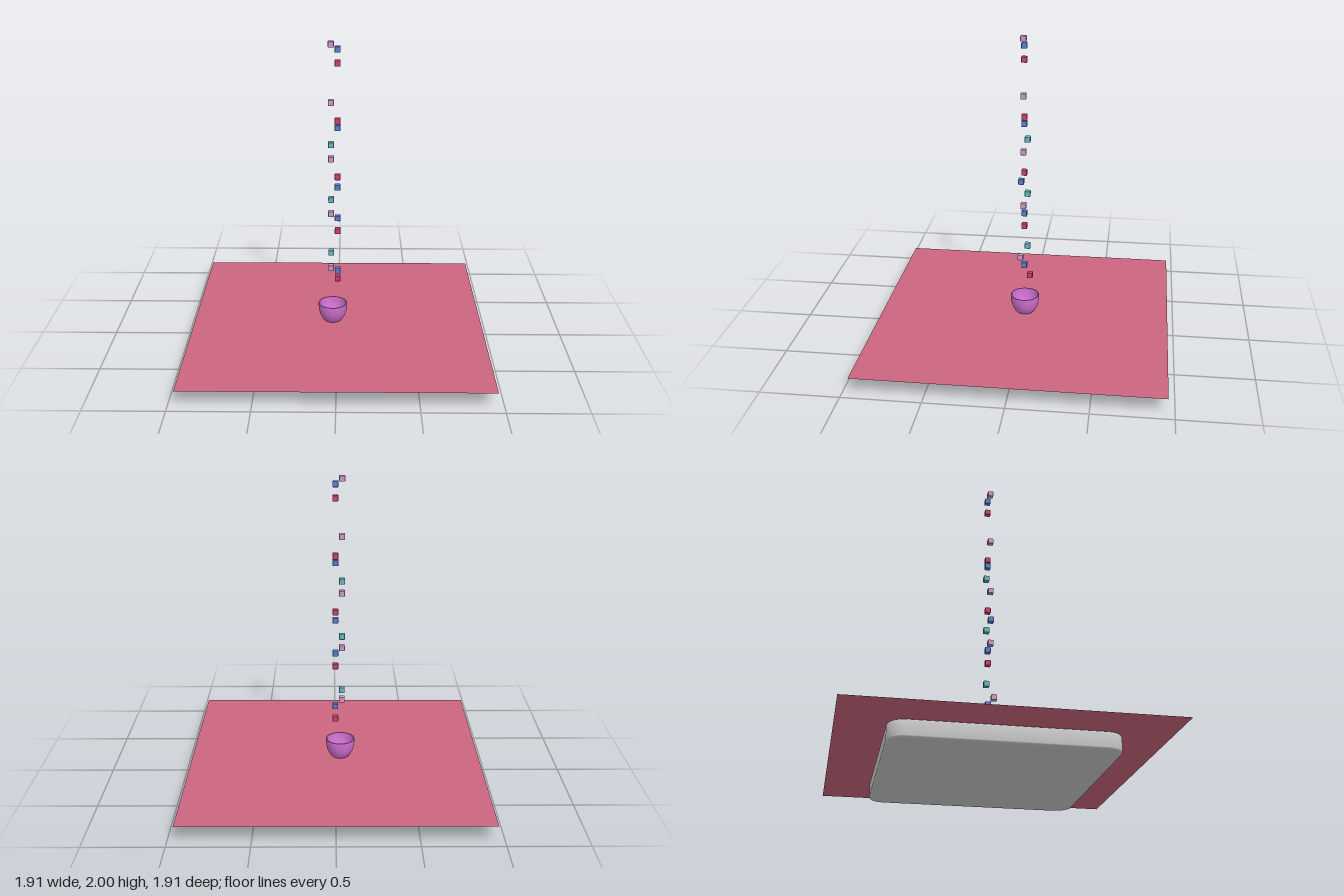
import * as THREE from 'three';
import { toCreasedNormals } from 'three/addons/utils/BufferGeometryUtils.js';
import { RoundedBoxGeometry } from 'three/addons/geometries/RoundedBoxGeometry.js';

function addMesh(parent, name, geometry, color, side = THREE.FrontSide) {
  const mesh = new THREE.Mesh(geometry, new THREE.MeshStandardMaterial({ color, side }));
  mesh.name = name;
  parent.add(mesh);
  return mesh;
}

function roundedSquare(half, r) {
  const s = new THREE.Shape();
  const c = half - r;
  s.absarc(c, c, r, 0, Math.PI / 2);
  s.absarc(-c, c, r, Math.PI / 2, Math.PI);
  s.absarc(-c, -c, r, Math.PI, Math.PI * 1.5);
  s.absarc(c, -c, r, Math.PI * 1.5, Math.PI * 2);
  s.closePath();
  return s;
}

export function createModel() {
  const model = new THREE.Group();
  model.name = 'bowlWithFallingCubes';

  // Rounded square base slab with softened edges
  const bevel = 0.012, height = 0.105;
  const slab = new THREE.ExtrudeGeometry(roundedSquare(0.67 - bevel, 0.09), {
    depth: height - 2 * bevel, bevelEnabled: true, bevelThickness: bevel,
    bevelSize: bevel, bevelSegments: 3, curveSegments: 8,
  });
  slab.rotateX(-Math.PI / 2).translate(0, bevel, 0);
  addMesh(model, 'base', toCreasedNormals(slab, 0.6), 0xcccccc);

  // Thin square sheet lying on the base
  const sheet = new THREE.PlaneGeometry(1.914, 1.914).rotateX(-Math.PI / 2);
  addMesh(model, 'sheet', sheet, 0xcc667f, THREE.DoubleSide).position.y = 0.108;

  // Open bowl: flat foot, round belly, thin lip, hollow inside
  const profile = [
    [0, 0], [0.056, 0], [0.07, 0.016], [0.083, 0.04], [0.091, 0.068], [0.095, 0.098],
    [0.095, 0.123], [0.088, 0.123], [0.086, 0.095], [0.08, 0.066], [0.069, 0.038],
    [0.054, 0.018], [0, 0.012],
  ].map(([r, y]) => new THREE.Vector2(r, y));
  const bowl = toCreasedNormals(new THREE.LatheGeometry(profile, 40), 0.6);
  addMesh(model, 'bowl', bowl, 0xd070d0, THREE.DoubleSide).position.set(-0.032, 0.112, 0);

  // Column of small cubes falling into the bowl: [y, z] per colour
  const cubeSets = [
    { name: 'lilacCube', color: 0xcc99cc, x: -0.042,
      at: [[1.982, 0.011], [1.614, 0.011], [1.244, 0.011], [0.874, 0.011], [0.504, 0.032]] },
    { name: 'blueCube', color: 0x5a7fd0, x: 0,
      at: [[1.949, 0], [1.448, 0], [1.058, 0.021], [0.84, 0], [0.47, 0]] },
    { name: 'crimsonCube', color: 0xcc4070, x: 0,
      at: [[1.861, 0], [1.491, 0], [1.121, 0], [0.751, 0], [0.397, -0.037]] },
    { name: 'tealCube', color: 0x66b8c4, x: -0.042,
      at: [[1.331, -0.016], [0.961, -0.016], [0.591, -0.016]] },
  ];
  const cube = new RoundedBoxGeometry(0.037, 0.037, 0.037, 2, 0.004);
  const cubes = new THREE.Group();
  cubes.name = 'fallingCubes';
  for (const { name, color, x, at } of cubeSets) {
    at.forEach(([y, z], i) => addMesh(cubes, name + (i + 1), cube, color).position.set(x, y, z));
  }
  model.add(cubes);
  return model;
}
